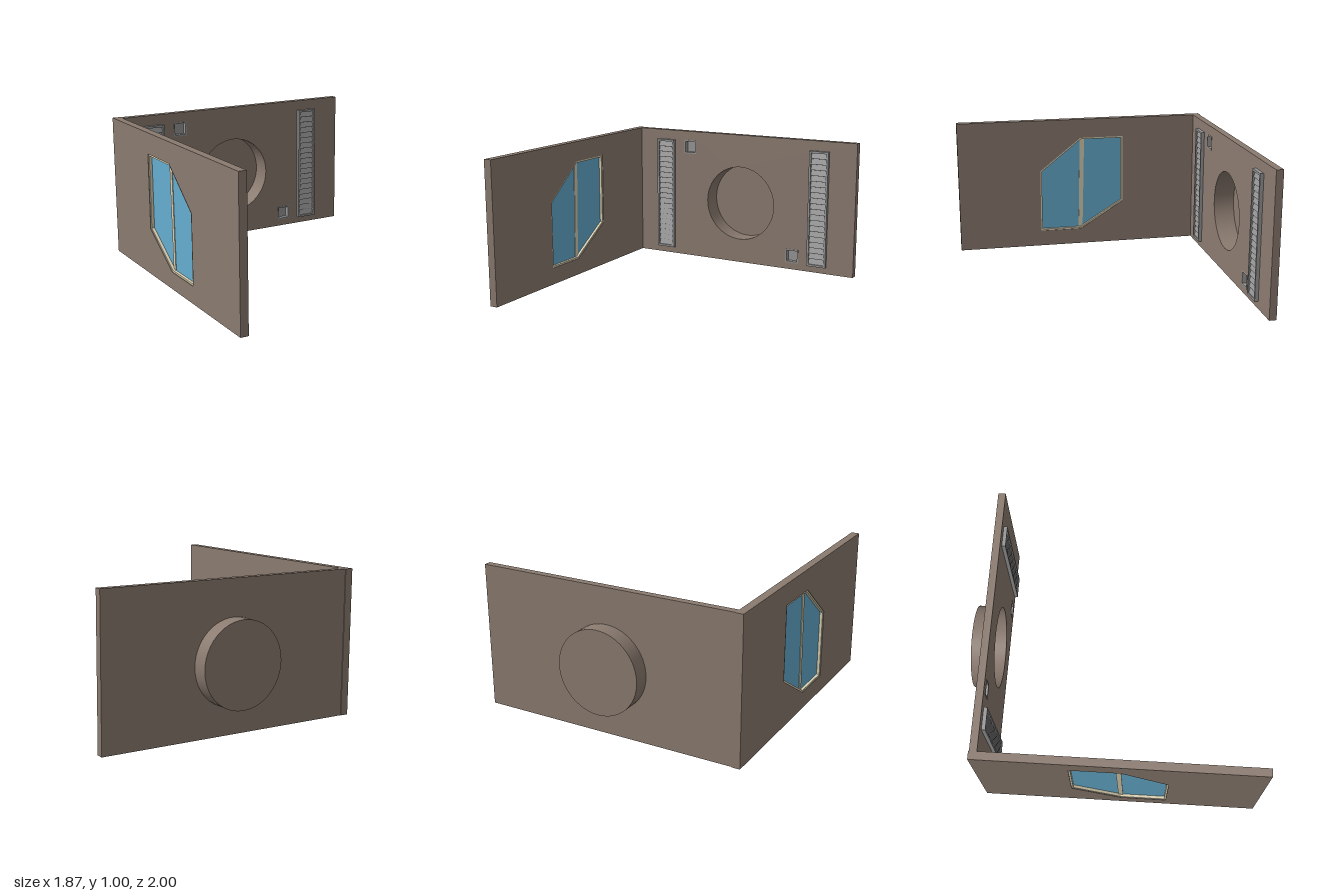
import * as THREE from 'three';
import { toCreasedNormals } from 'three/addons/utils/BufferGeometryUtils.js';

const material = (color) => new THREE.MeshStandardMaterial({ color, side: THREE.DoubleSide });

function polygon(points, Type = THREE.Shape) {
  return new Type(points.map(([x, y]) => new THREE.Vector2(x, y)));
}

const rectPoints = (x0, x1, y0, y1) => [[x0, y0], [x1, y0], [x1, y1], [x0, y1]];

// Flat plate with holes, extruded along +z from z0 to z1
function plate(outline, holes, z0, z1, mat, name) {
  const shape = polygon(outline);
  shape.holes.push(...holes);
  const geo = new THREE.ExtrudeGeometry(shape, { depth: z1 - z0, bevelEnabled: false, curveSegments: 48 });
  geo.translate(0, 0, z0);
  const mesh = new THREE.Mesh(toCreasedNormals(geo, 0.5), mat);
  mesh.name = name;
  return mesh;
}

function box(w, h, d, x, y, z, mat, name) {
  const mesh = new THREE.Mesh(new THREE.BoxGeometry(w, h, d), mat);
  mesh.position.set(x, y, z);
  mesh.name = name;
  return mesh;
}

// Shrinks a convex outline (counter-clockwise) by moving each edge inward
function inset(points, d) {
  const n = points.length;
  const edge = (i) => {
    const [ax, ay] = points[i % n], [bx, by] = points[(i + 1) % n];
    const l = Math.hypot(bx - ax, by - ay);
    const nx = -(by - ay) / l, ny = (bx - ax) / l;
    return [nx, ny, nx * ax + ny * ay + d];
  };
  return points.map((_, i) => {
    const [a, b, c] = edge(i + n - 1), [e, f, g] = edge(i);
    const det = a * f - b * e;
    return [(c * f - b * g) / det, (a * g - c * e) / det];
  });
}

export function createModel() {
  const model = new THREE.Group();
  model.name = 'cornerWalls';
  const wallMat = material(0x8b7b70);
  const frameMat = material(0xd8cfb2);
  const glassMat = material(0x66aed0);
  const metalMat = material(0x979797);

  // Back wall: a closed rear skin and a front layer with square recesses
  const back = -0.89, front = -0.84;
  const cx = 0.005, cy = 0.465, R = 0.287;
  const roundHole = () => new THREE.Path().absarc(cx, cy, R - 0.002, 0, Math.PI * 2, true);
  const squares = [[-0.435, 0.872], [0.447, 0.103]];
  const half = 0.052;
  const squareOutline = ([x, y], h) => rectPoints(x - h, x + h, y - h, y + h);
  const wallOutline = rectPoints(-0.88, 0.935, 0, 0.995);
  const squareHoles = squares.map((s) => polygon(squareOutline(s, half), THREE.Path));
  model.add(plate(wallOutline, [roundHole()], back, back + 0.006, wallMat, 'backWallSkin'));
  model.add(plate(wallOutline, [roundHole(), ...squareHoles], back + 0.006, front, wallMat, 'backWall'));

  // Round niche: a cup open to the front that sticks out behind the wall
  const cup = new THREE.LatheGeometry(
    [[0, -1], [R, -1], [R, front], [R - 0.004, front], [R - 0.004, -0.99], [0, -0.99]]
      .map(([r, z]) => new THREE.Vector2(r, z)), 48);
  cup.rotateX(Math.PI / 2);
  const niche = new THREE.Mesh(toCreasedNormals(cup, 0.6), wallMat);
  niche.position.set(cx, cy, 0);
  niche.name = 'roundNiche';
  model.add(niche);

  // Small square recesses with a metal lining and panel
  for (const s of squares) {
    const recess = new THREE.Group();
    recess.name = 'squareRecess';
    const opening = polygon(squareOutline(s, half - 0.01), THREE.Path);
    recess.add(plate(squareOutline(s, half), [opening], back + 0.006, front + 0.002, metalMat, 'recessFrame'));
    recess.add(box(0.09, 0.09, 0.006, s[0], s[1], -0.878, metalMat, 'recessPanel'));
    model.add(recess);
  }

  // Tall louvred vents
  for (const x of [-0.645, 0.65]) {
    const vent = new THREE.Group();
    vent.name = 'vent';
    const y0 = 0.05, y1 = 0.92, w = 0.075, rim = 0.015, count = 20;
    const opening = polygon(rectPoints(x - w + rim, x + w - rim, y0 + rim, y1 - rim), THREE.Path);
    vent.add(plate(rectPoints(x - w, x + w, y0, y1), [opening], front, front + 0.025, metalMat, 'ventFrame'));
    const step = (y1 - y0 - 2 * rim) / count;
    for (let i = 0; i < count; i++) {
      const slat = box(2 * (w - rim), step, 0.004, x, y0 + rim + (i + 0.5) * step, front + 0.011, metalMat, 'ventSlat');
      slat.rotation.x = -0.3;
      vent.add(slat);
    }
    model.add(vent);
  }

  // Side wall, drawn flat with x standing for -z, then turned into place
  const side = new THREE.Group();
  side.name = 'sideWallWithWindow';
  side.rotation.y = Math.PI / 2;
  const x0 = -0.935, x1 = -0.88, mid = (x0 + x1) / 2;
  const windowOutline = [[-0.375, 0.12], [-0.06, 0.12], [0.275, 0.33], [0.275, 0.85], [-0.06, 0.85], [-0.375, 0.6]];
  const glassOutline = inset(windowOutline, 0.012);
  side.add(plate(rectPoints(-1, 0.895, 0, 0.995), [polygon(windowOutline, THREE.Path)], x0, x1, wallMat, 'sideWall'));
  side.add(plate(windowOutline, [polygon(glassOutline, THREE.Path)], x0 + 0.004, x1 - 0.004, frameMat, 'windowFrame'));
  side.add(plate(glassOutline, [], mid - 0.004, mid + 0.004, glassMat, 'windowGlass'));
  // Slightly leaning centre bar
  const bar = [[-0.076, 0.122], [-0.044, 0.122], [-0.026, 0.848], [-0.06, 0.848]];
  side.add(plate(bar, [], mid - 0.008, mid + 0.008, frameMat, 'windowBar'));
  model.add(side);

  return model;
}
